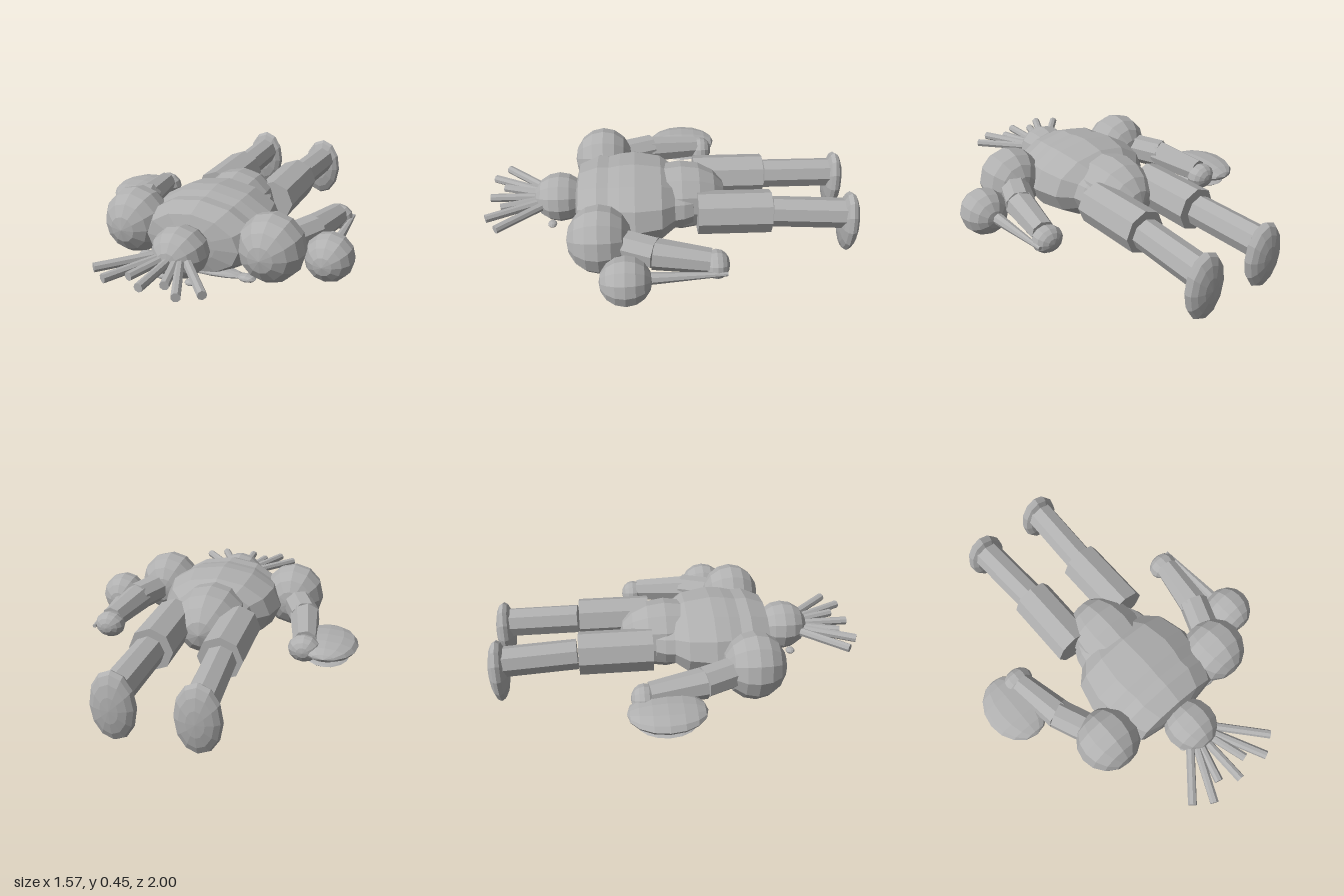
import * as THREE from 'three';

const CX = 0.02; // body midline

export function createModel() {
  const model = new THREE.Group();
  model.name = 'lyingFigure';
  const clay = new THREE.MeshStandardMaterial({ color: 0xb0b0b0, flatShading: true });
  clay.name = 'plainGrey';

  const add = (name, geometry) => {
    const mesh = new THREE.Mesh(geometry, clay);
    mesh.name = name;
    model.add(mesh);
    return mesh;
  };

  // Faceted ellipsoid with its poles along z
  const ball = (name, [x, y, z], [rx, ry, rz], segments = 12, rings = 8) => {
    const g = new THREE.SphereGeometry(1, segments, rings).rotateX(Math.PI / 2);
    g.scale(rx, ry, rz);
    return add(name, g.translate(x, y, z));
  };

  // Tapered prism between two points
  const limb = (name, from, to, r0, r1, sides = 8) => {
    const a = new THREE.Vector3(...from), b = new THREE.Vector3(...to);
    const dir = b.clone().sub(a);
    const mesh = add(name, new THREE.CylinderGeometry(r1, r0, dir.length(), sides));
    mesh.position.copy(a).add(b).multiplyScalar(0.5);
    mesh.quaternion.setFromUnitVectors(new THREE.Vector3(0, 1, 0), dir.normalize());
    return mesh;
  };

  // Torso: flattened lathe lying along z
  const profile = [
    [0, -0.13], [0.2, -0.11], [0.225, -0.06], [0.235, -0.01], [0.305, 0.06], [0.34, 0.2],
    [0.33, 0.28], [0.31, 0.34], [0.315, 0.4], [0.255, 0.5], [0.14, 0.52], [0, 0.53],
  ].map(([r, z]) => new THREE.Vector2(r, z));
  const torso = new THREE.LatheGeometry(profile, 12).rotateX(Math.PI / 2);
  torso.scale(1, 0.61, 1).translate(CX, 0.248, 0);
  add('torso', torso);
  ball('pelvis', [CX, 0.25, -0.05], [0.2, 0.185, 0.25]);
  ball('bellyRidge', [CX, 0.085, -0.02], [0.035, 0.03, 0.25]);
  ball('collar', [CX, 0.085, 0.43], [0.27, 0.025, 0.06]);

  // Head with its face turned to the ground
  ball('head', [CX, 0.255, 0.61], [0.143, 0.132, 0.143]);
  ball('nose', [CX, 0.135, 0.62], [0.025, 0.025, 0.03], 8, 6);
  ball('mouth', [CX, 0.145, 0.55], [0.06, 0.02, 0.02], 8, 6);

  // Fan of hair spikes
  for (let i = -3; i <= 3; i++) {
    limb('hairSpike', [CX, 0.257, 0.6], [CX + i * 0.094, 0.257, i % 2 ? 0.925 : 0.99], 0.023, 0.023);
  }

  for (const s of [-1, 1]) {
    const X = (d) => CX + s * d;
    // Face and collar studs
    ball('eye', [X(0.078), 0.128, 0.66], [0.03, 0.016, 0.025], 8, 6);
    ball('collarStud', [X(0.285), 0.1, 0.46], [0.05, 0.02, 0.035], 8, 6);

    // Arms
    ball('shoulder', [X(0.383), 0.257, 0.383], [0.175, 0.18, 0.167]);
    limb('upperArm', [X(0.415), 0.255, 0.3], [X(0.498), 0.25, 0.1], 0.082, 0.082);
    limb('forearm', [X(0.493), 0.245, 0.11], [X(0.54), 0.228, -0.17], 0.082, 0.064);
    ball('hand', [X(0.54), 0.207, -0.2], [0.084, 0.072, 0.066]);

    // Legs
    limb('thigh', [X(0.178), 0.256, -0.13], [X(0.178), 0.256, -0.52], 0.117, 0.117);
    limb('shin', [X(0.183), 0.255, -0.53], [X(0.2), 0.243, -0.93], 0.082, 0.082);
    ball('foot', [X(0.2), 0.187, -0.946], [0.115, 0.182, 0.054]);
  }

  // Rattle held in the left hand
  limb('rattleHandle', [0.635, 0.205, -0.25], [0.645, 0.2, 0.17], 0.01, 0.034);
  ball('rattleHead', [0.657, 0.198, 0.25], [0.127, 0.127, 0.13]);

  // Round drum held in the right hand
  ball('drumTop', [-0.63, 0.2, -0.093], [0.16, 0.052, 0.198]);
  ball('drumBase', [-0.63, 0.135, -0.093], [0.118, 0.013, 0.15]);

  return model;
}
